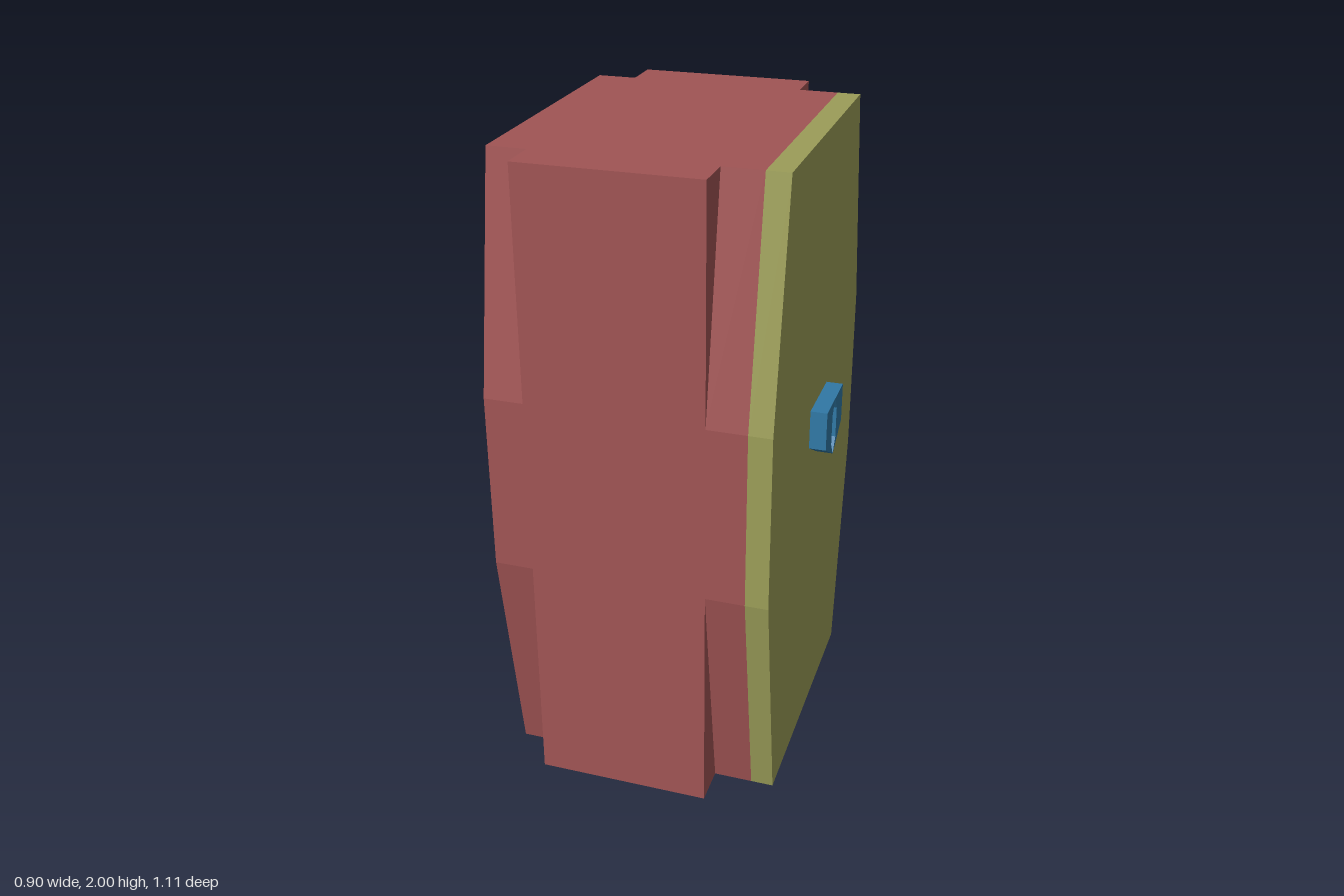
import * as THREE from 'three';

const paint = (color) => new THREE.MeshStandardMaterial({ color, side: THREE.DoubleSide, flatShading: true });
const Z = 0.555, ZEND = 0.432, LOW = 0.75, HIGH = 1.3, TOP = 2;
const BACK = -0.455, RIB0 = -0.335, RIB1 = 0.205, FACE = 0.325, DOOR = 0.395;

// Prism with a [z, y] outline, running between two x positions
function prism(points, x0, x1) {
  const shape = new THREE.Shape(points.map(([z, y]) => new THREE.Vector2(z, y)));
  const geo = new THREE.ExtrudeGeometry(shape, { depth: x1 - x0, bevelEnabled: false });
  return geo.rotateY(-Math.PI / 2).translate(x1, 0, 0);
}

// Eight-sided outline, tapered towards both ends
function octagon(zMid, zEnd, bottom, low, high, top) {
  const half = [[zEnd, bottom], [zMid, low], [zMid, high], [zEnd, top]];
  return [...half, ...half.map(([z, y]) => [-z, y]).reverse()];
}

// Thin sheet following a [z, y] line between two x positions
function sheet(line, x0, x1) {
  const pos = [], index = [];
  line.forEach(([z, y], i) => {
    pos.push(x0, y, z, x1, y, z);
    const a = 2 * i;
    if (i) index.push(a - 2, a - 1, a + 1, a - 2, a + 1, a);
  });
  const geo = new THREE.BufferGeometry();
  geo.setAttribute('position', new THREE.Float32BufferAttribute(pos, 3));
  geo.setIndex(index);
  geo.computeVertexNormals();
  return geo;
}

export function createModel() {
  const model = new THREE.Group();
  const red = paint(0xa05454), olive = paint(0x9b9d58), blue = paint(0x3078a5);
  const add = (name, geo, mat, parent = model) => {
    const mesh = new THREE.Mesh(geo, mat);
    mesh.name = name;
    parent.add(mesh);
    return mesh;
  };

  // Thin side walls: tapered bands at either side of a straight rib
  const taper = [[ZEND, 0], [Z, LOW], [Z, HIGH], [ZEND, TOP]];
  for (const s of [1, -1]) {
    const wall = new THREE.Group();
    wall.name = s > 0 ? 'frontWall' : 'backWall';
    model.add(wall);
    const side = (line) => line.map(([z, y]) => [z * s, y]);
    // line order keeps the outer face forward on both sides
    const order = (line) => (s > 0 ? side(line) : side(line).reverse());
    add('rearBand', sheet(order(taper), BACK, RIB0), red, wall);
    add('doorBand', sheet(order(taper), RIB1, FACE), red, wall);
    add('rib', sheet(order([[Z, 0], [Z, TOP]]), RIB0, RIB1), red, wall);
    // Wedges closing the rib's edges
    for (const x of [RIB0, RIB1]) {
      for (const [end, mid] of [[0, LOW], [TOP, HIGH]]) {
        const shape = new THREE.Shape(side([[ZEND, end], [Z, end], [Z, mid]]).map(([z, y]) => new THREE.Vector2(z, y)));
        add('ribEdge', new THREE.ShapeGeometry(shape).rotateY(-Math.PI / 2).translate(x, 0, 0), red, wall);
      }
    }
  }

  // Top plate with four notched corners
  const outline = [[BACK, ZEND], [RIB0, ZEND], [RIB0, Z], [RIB1, Z], [RIB1, ZEND], [FACE, ZEND]];
  const full = [...outline, ...outline.map(([x, z]) => [x, -z]).reverse()];
  const plate = new THREE.Shape(full.map(([x, z]) => new THREE.Vector2(x, z)));
  add('topPlate', new THREE.ShapeGeometry(plate).rotateX(-Math.PI / 2).translate(0, TOP, 0), red);

  // Inner chamber, set in from the open back and bottom
  add('innerChamber', prism(octagon(0.45, 0.28, 0.084, 0.72, 1.28, 1.92), RIB0, FACE - 0.002), red);

  // Door
  add('door', prism(octagon(Z, ZEND, 0, LOW, HIGH, TOP), FACE, DOOR), olive);

  // Handle: two mirrored halves around a six-sided opening
  const half = [[0, 1.175], [0.03, 1.13], [0.03, 1.03], [0, 0.985], [0.11, 1.05], [0.11, 1.175]];
  const handle = new THREE.Group();
  handle.name = 'handle';
  model.add(handle);
  for (const s of [1, -1]) {
    add('handleHalf', prism(half.map(([z, y]) => [z * s, y]), 0.398, 0.45), blue, handle);
  }
  return model;
}
